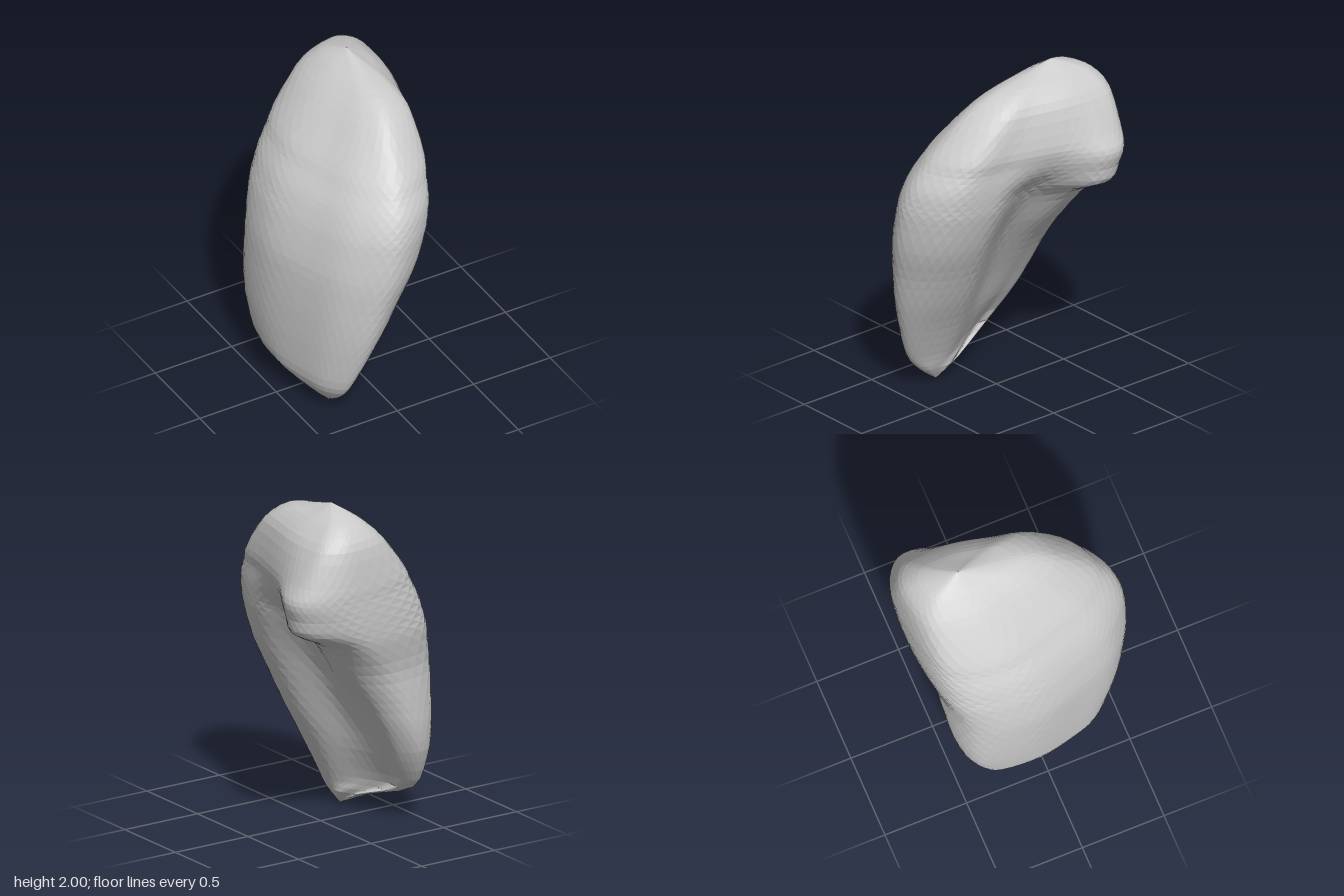
import * as THREE from 'three';

// Horizontal cross-sections, bottom to top:
// y, back z, front z, then x of: front edge, outer face, back edge, inner back, hollow, inner front ridge
const LEVELS = [
  [0, 0.21, 0.21, -0.28, -0.28, -0.28, -0.28, -0.28, -0.28],
  [0.09, 0.01, 0.33, -0.28, -0.38, -0.34, -0.27, -0.23, -0.23],
  [0.2, -0.3, 0.42, -0.28, -0.475, -0.42, -0.35, -0.27, -0.19],
  [0.4, -0.44, 0.5, -0.24, -0.51, -0.38, -0.26, -0.2, -0.1],
  [0.6, -0.5, 0.56, -0.2, -0.525, -0.31, -0.16, -0.13, 0],
  [0.8, -0.52, 0.6, -0.16, -0.53, -0.23, -0.04, -0.04, 0.09],
  [1, -0.54, 0.635, -0.11, -0.525, -0.12, 0.11, 0.06, 0.18],
  [1.2, -0.6, 0.64, -0.07, -0.49, 0.04, 0.27, 0.17, 0.25],
  [1.3, -0.62, 0.63, -0.05, -0.46, 0.13, 0.45, 0.24, 0.275],
  [1.4, -0.63, 0.6, -0.02, -0.42, 0.18, 0.49, 0.33, 0.295],
  [1.5, -0.635, 0.54, 0, -0.36, 0.22, 0.515, 0.39, 0.31],
  [1.6, -0.635, 0.47, 0.03, -0.3, 0.22, 0.475, 0.41, 0.33],
  [1.8, -0.61, 0.28, 0.08, -0.13, 0.2, 0.38, 0.37, 0.32],
  [1.9, -0.54, 0.11, 0.12, -0.02, 0.18, 0.29, 0.29, 0.26],
  [1.95, -0.45, -0.1, 0.13, 0.05, 0.15, 0.22, 0.22, 0.2],
  [2, -0.29, -0.29, 0.13, 0.13, 0.13, 0.13, 0.13, 0.13],
];

// Smooth interpolation between levels, column by column
function levelAt(t) {
  const last = LEVELS.length - 1;
  const i = Math.min(Math.floor(t), last - 1);
  const f = t - i;
  const [a, b, c, d] = [i - 1, i, i + 1, i + 2].map((k) => LEVELS[THREE.MathUtils.clamp(k, 0, last)]);
  return b.map((p, k) => {
    const m0 = (c[k] - a[k]) / 2;
    const m1 = (d[k] - p) / 2;
    const q = c[k];
    return p + f * (m0 + f * (3 * (q - p) - 2 * m0 - m1 + f * (2 * (p - q) + m0 + m1)));
  });
}

// Closed bean-shaped section: blunt front, outer face, flat back, inner hollow, front ridge
function sectionCurve([y, zb, zf, xf, xo, xb, xib, xh, xif]) {
  const mix = THREE.MathUtils.lerp;
  const at = (x, down) => new THREE.Vector3(x, y, mix(zf, zb, down));
  return new THREE.CatmullRomCurve3([
    at(xf, 0), at(mix(xf, xo, 0.5), 0.12), at(mix(xf, xo, 0.77), 0.32), at(xo, 0.63),
    at(mix(xb, xo, 0.8), 0.91), at(xb, 1), at(mix(xb, xib, 0.84), 0.93), at(xib, 0.79),
    at(xh, 0.57), at(xif, 0.32), at(mix(xf, xif, 0.76), 0.1),
  ], true, 'catmullrom', 0.5);
}

// Loft with staggered rows, giving an even triangle mesh
function loftGeometry(around, rowsPerLevel) {
  const rows = (LEVELS.length - 1) * rowsPerLevel;
  const positions = [];
  const index = [];
  for (let i = 0; i <= rows; i++) {
    const curve = sectionCurve(levelAt(i / rowsPerLevel));
    for (let j = 0; j < around; j++) {
      const p = curve.getPoint(((j + (i % 2) / 2) / around) % 1);
      positions.push(p.x, THREE.MathUtils.clamp(p.y, 0, 2), p.z);
    }
  }
  for (let i = 0; i < rows; i++) {
    for (let j = 0; j < around; j++) {
      const k = (j + 1) % around;
      const a = i * around + j, b = i * around + k;
      const c = a + around, d = b + around;
      if (i % 2) index.push(a, c, d, a, d, b);
      else index.push(a, c, b, b, c, d);
    }
  }
  const geometry = new THREE.BufferGeometry();
  geometry.setAttribute('position', new THREE.Float32BufferAttribute(positions, 3));
  geometry.setIndex(index);
  geometry.computeVertexNormals();
  return geometry;
}

export function createModel() {
  const group = new THREE.Group();
  group.name = 'curvedOrganicForm';
  const material = new THREE.MeshStandardMaterial({ color: 0xcccccc, flatShading: true });

  // One curved body: convex outer face, hollow inner face, overhanging top lobe
  const body = new THREE.Mesh(loftGeometry(44, 3), material);
  body.name = 'body';
  group.add(body);
  return group;
}
